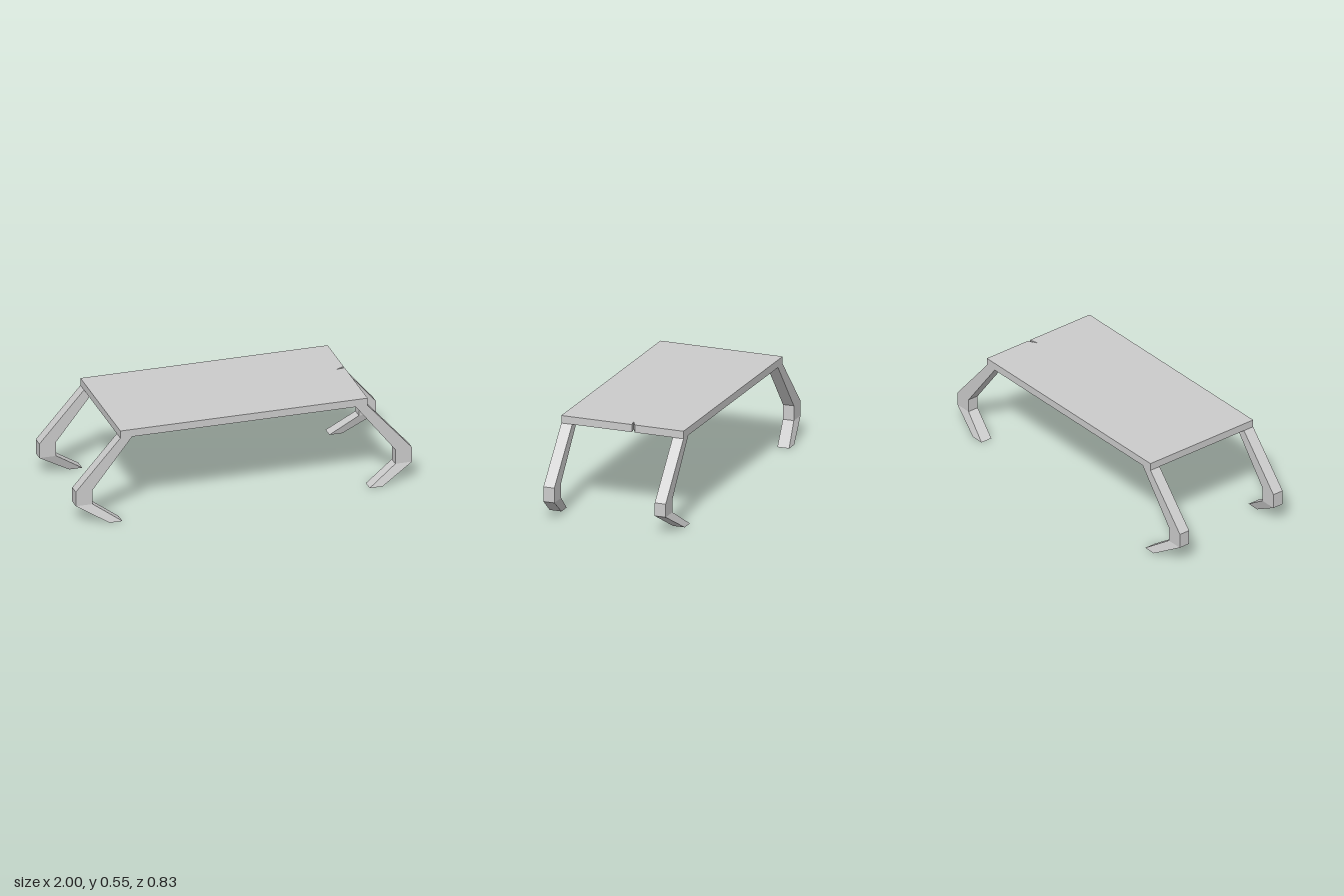
import * as THREE from 'three';

const material = new THREE.MeshStandardMaterial({ color: 0xcccccc, flatShading: true });

// Leg swept down through rectangular sections; sx and sz mirror it to a corner
function legGeometry(sx, sz, kneeY) {
  // [y, inner x, outer x, inner z, outer z]
  const sections = [
    [0.5, 0.665, 0.735, 0.308, 0.375],
    [kneeY, 0.9, 1.0, 0.308, 0.375],
    [0.112, 0.9, 1.0, 0.308, 0.375],
    [0, 0.735, 0.812, 0.342, 0.414],
  ];
  const positions = [];
  for (const [y, x0, x1, z0, z1] of sections) {
    for (const [x, z] of [[x0, z0], [x1, z0], [x1, z1], [x0, z1]]) {
      positions.push(sx * x, y, sz * z);
    }
  }
  const index = [];
  const quad = (a, b, c, d) => {
    if (sx * sz > 0) index.push(a, b, c, a, c, d);
    else index.push(a, c, b, a, d, c);
  };
  const last = (sections.length - 1) * 4;
  for (let s = 0; s < last; s += 4) {
    for (let i = 0; i < 4; i++) {
      const j = (i + 1) % 4;
      quad(s + i, s + j, s + 4 + j, s + 4 + i);
    }
  }
  quad(3, 2, 1, 0); // top end
  quad(last, last + 1, last + 2, last + 3); // sole
  const indexed = new THREE.BufferGeometry();
  indexed.setAttribute('position', new THREE.Float32BufferAttribute(positions, 3));
  indexed.setIndex(index);
  const geometry = indexed.toNonIndexed();
  geometry.computeVertexNormals();
  return geometry;
}

export function createModel() {
  const group = new THREE.Group();
  group.name = 'table';

  // Thin top with a small slanted nick in its left edge (shape y becomes z)
  const outline = new THREE.Shape([
    [-0.735, -0.375], [0.735, -0.375], [0.735, -0.076], [0.68, -0.046],
    [0.735, -0.059], [0.735, 0.375], [-0.735, 0.375],
  ].map(([x, z]) => new THREE.Vector2(x, z)));
  const topGeometry = new THREE.ExtrudeGeometry(outline, { depth: 0.045, bevelEnabled: false });
  topGeometry.rotateX(Math.PI / 2).translate(0, 0.545, 0);
  const top = new THREE.Mesh(topGeometry, material);
  top.name = 'tableTop';
  group.add(top);

  // Four bent legs with splayed feet; the back left knee sits slightly lower
  for (const sx of [1, -1]) {
    for (const sz of [1, -1]) {
      const kneeY = sx > 0 && sz < 0 ? 0.19 : 0.2;
      const leg = new THREE.Mesh(legGeometry(sx, sz, kneeY), material);
      leg.name = (sz > 0 ? 'front' : 'back') + (sx > 0 ? 'Left' : 'Right') + 'Leg';
      group.add(leg);
    }
  }
  return group;
}
